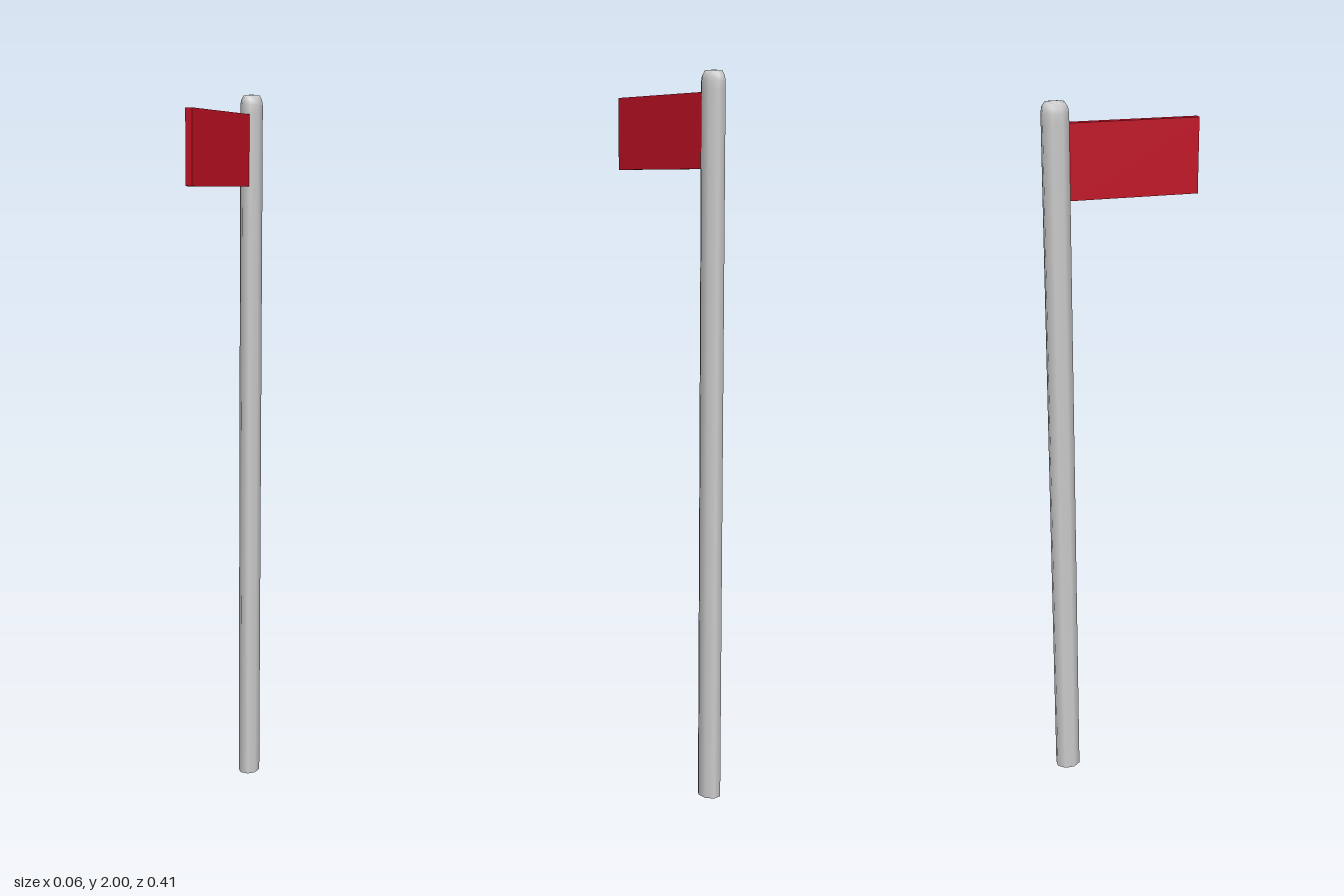
import * as THREE from 'three';

export function createModel() {
  const group = new THREE.Group();
  const grey = new THREE.MeshStandardMaterial({ color: 0xcccccc });
  const red = new THREE.MeshStandardMaterial({ color: 0xc01024 });

  const R = 0.028 / Math.cos(Math.PI / 8);
  const pole = new THREE.Group();
  pole.name = 'pole';
  pole.position.z = -0.17;
  pole.scale.z = 1.21; // slightly oval cross-section

  // Eight-sided shaft with a rounded top
  const profile = [[1, 0], [1, 1.95], [1, 1.97], [0.93, 1.985], [0.72, 1.997], [0, 2]]
    .map(([r, y]) => new THREE.Vector2(r * R, y));
  const shaft = new THREE.Mesh(new THREE.LatheGeometry(profile, 8, Math.PI / 8), grey);
  shaft.name = 'shaft';

  // Flat underside
  const base = new THREE.Mesh(new THREE.CircleGeometry(R, 8, Math.PI / 8), grey);
  base.name = 'poleBase';
  base.rotation.x = Math.PI / 2;
  pole.add(shaft, base);

  // Flat flag pointing forward from the pole
  const flag = new THREE.Mesh(new THREE.BoxGeometry(0.019, 0.196, 0.343), red);
  flag.name = 'flag';
  flag.position.set(0, 1.847, 0.0325);

  group.add(pole, flag);
  return group;
}
